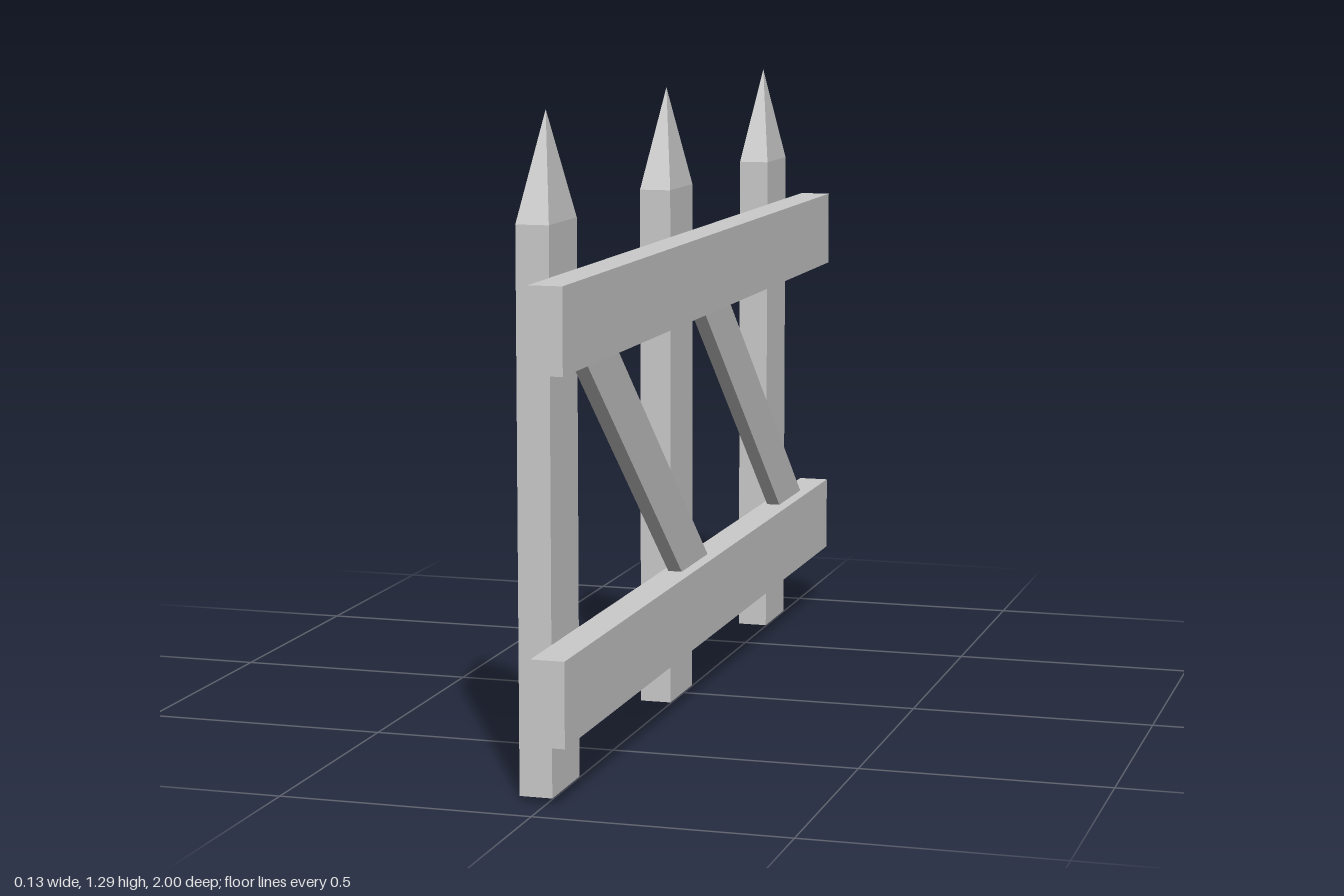
import * as THREE from 'three';

const material = new THREE.MeshStandardMaterial({ color: 0xcccccc, flatShading: true });

function add(parent, name, geometry, x, y, z) {
  const mesh = new THREE.Mesh(geometry, material);
  mesh.name = name;
  mesh.position.set(x, y, z);
  parent.add(mesh);
}

// Upright post with a pyramid point
function makePost(z) {
  const post = new THREE.Group();
  post.name = 'post';
  const thick = 0.065, width = 0.164, shaft = 1.08, point = 0.207;
  add(post, 'postShaft', new THREE.BoxGeometry(thick, shaft, width), 0, shaft / 2, 0);
  const tip = new THREE.ConeGeometry(Math.SQRT1_2, point, 4, 1, true)
    .rotateY(Math.PI / 4)
    .scale(thick, 1, width);
  add(post, 'postPoint', tip, 0, shaft + point / 2, 0);
  post.position.set(-0.0345, 0, z);
  return post;
}

// Diagonal board: a box sheared along z, leaning slightly in x
function makeBraceGeometry() {
  const geometry = new THREE.BoxGeometry(0.029, 0.54, 0.195);
  const p = geometry.attributes.position;
  for (let i = 0; i < p.count; i++) {
    const y = p.getY(i);
    p.setX(i, p.getX(i) + 0.018 * y);
    p.setZ(i, p.getZ(i) + 1.26 * y);
  }
  geometry.computeVertexNormals();
  return geometry;
}

export function createModel() {
  const fence = new THREE.Group();
  fence.name = 'fence';

  // Three posts
  for (const z of [0.79, 0.01, -0.77]) fence.add(makePost(z));

  // Lower and upper rails
  const rail = new THREE.BoxGeometry(0.066, 0.164, 2);
  add(fence, 'lowerRail', rail, 0.033, 0.214, 0);
  add(fence, 'upperRail', rail, 0.033, 0.902, 0);

  // Diagonal braces between the rails
  const brace = makeBraceGeometry();
  for (const z of [0.39, -0.408]) add(fence, 'brace', brace, 0.032, 0.558, z);

  return fence;
}
